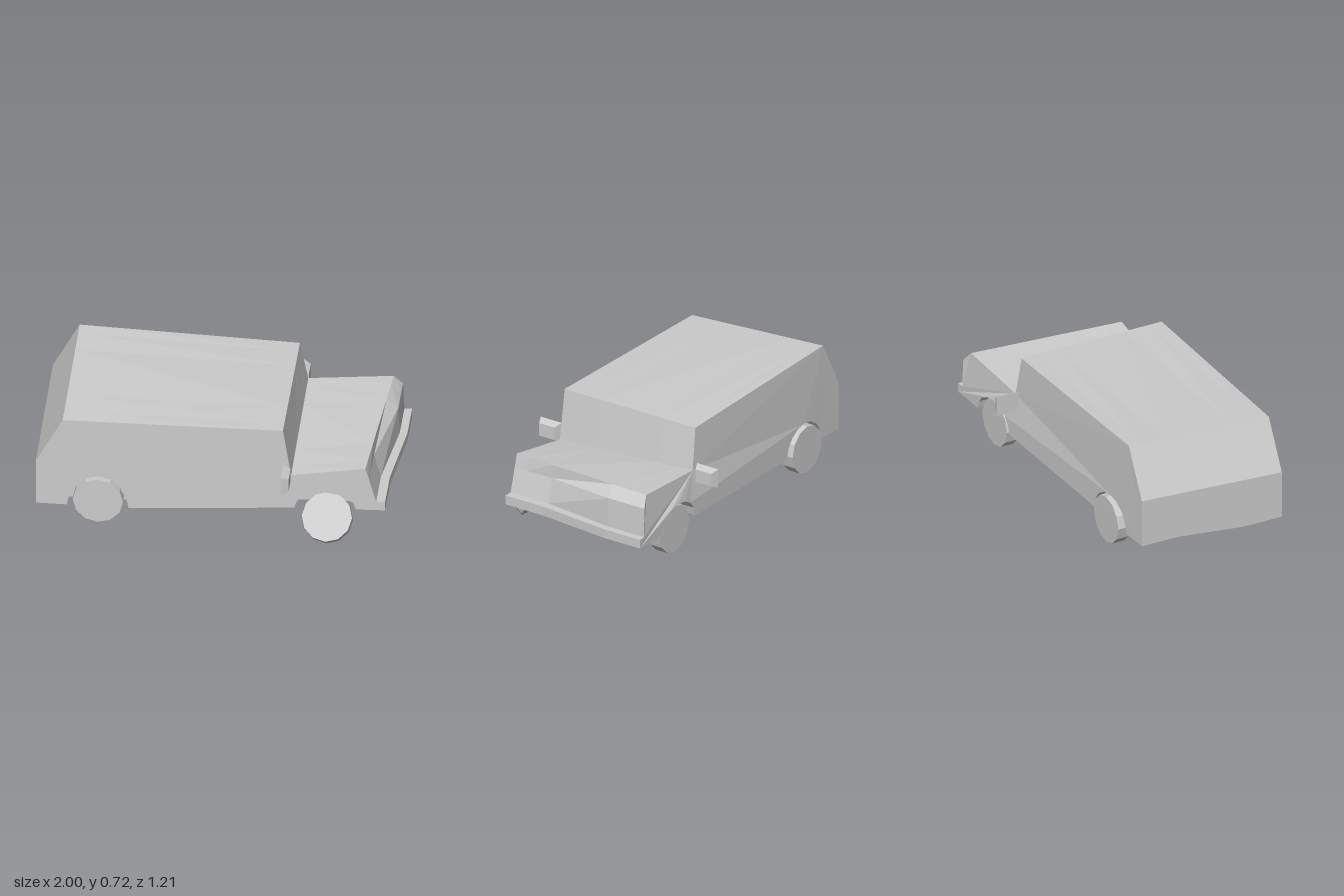
import * as THREE from 'three';

const grey = new THREE.MeshStandardMaterial({ color: 0xcccccc, flatShading: true });
const { lerp, clamp } = THREE.MathUtils;

// Underside height along x, on the sagging (+z) and the raised (-z) side
const floorRight = x => x < -0.48 ? 0.11 : x < 0.45 ? lerp(0.11, 0.178, (x + 0.48) / 0.93) : lerp(0.178, 0.197, (x - 0.45) / 0.55);
const floorLeft = x => lerp(0.155, 0.197, (x + 1) / 2);
const sideZ = x => -0.445 - 0.03 * (x + 1);

// Outline points: right (+z) x, y; left (-z) x, y; left z; bend = creased rather than straight change; lift = arch height
function outline() {
  const pts = [];
  const add = (xr, yr, xl, yl, zl, bend = false, lift = 0) => pts.push({ xr, yr, xl, yl, zl, bend, lift });
  const arch = (cx) => {
    for (let i = 0; i <= 8; i++) {
      const a = Math.PI * (1 - i / 8), x = cx + 0.172 * Math.cos(a);
      add(x, floorRight(x), x, floorLeft(x), sideZ(x), true, Math.sin(a));
    }
  };
  add(-1, 0.11, -1, 0.155, -0.445, true);
  arch(-0.655);
  arch(0.615);
  add(0.95, 0.195, 1, 0.197, -0.505, true);      // bumper
  add(0.95, 0.25, 1, 0.25, -0.505, true);
  add(0.90, 0.25, 0.957, 0.25, -0.503, true);
  add(0.861, 0.39, 0.95, 0.42, -0.5, true);      // grille
  add(0.84, 0.465, 0.9, 0.48, -0.478);           // hood
  add(0.425, 0.393, 0.425, 0.445, -0.458);
  add(0.38, 0.685, 0.38, 0.685, -0.445);         // roof
  add(-0.85, 0.67, -0.85, 0.72, -0.445);
  add(-1, 0.39, -1, 0.44, -0.445);               // tailgate
  return pts;
}

// Body skin lofted across the width; the doubled stations form the wheel-well walls
function bodyGeometry() {
  const pts = outline(), n = pts.length;
  const stations = [[0, 1], [0.09, 1], [0.09, 0], [0.27, 0], [0.74, 0], [0.91, 0], [0.91, 1], [1, 1]];
  const rows = stations.map(([u, open]) => pts.map(p => {
    const s = p.bend ? clamp((u - 0.27) / 0.47, 0, 1) : u;
    const y = lerp(p.yr, p.yl, s);
    const top = lerp(0.29, 0.32, u);
    return new THREE.Vector3(lerp(p.xr, p.xl, s), y + open * p.lift * (top - y), lerp(0.443, p.zl, u));
  }));
  const pos = [];
  const tri = (...v) => v.forEach(p => pos.push(p.x, p.y, p.z));
  for (let k = 0; k < rows.length - 1; k++) {
    for (let i = 0; i < n; i++) {
      const j = (i + 1) % n, a = rows[k][i], b = rows[k][j], c = rows[k + 1][j], d = rows[k + 1][i];
      tri(a, d, c);
      tri(a, c, b);
    }
  }
  const cap = (row, flip) => {
    const faces = THREE.ShapeUtils.triangulateShape(row.map(p => new THREE.Vector2(p.x, p.y)), []);
    for (const [a, b, c] of faces) flip ? tri(row[a], row[c], row[b]) : tri(row[a], row[b], row[c]);
  };
  cap(rows[0], false);
  cap(rows[rows.length - 1], true);
  const g = new THREE.BufferGeometry();
  g.setAttribute('position', new THREE.Float32BufferAttribute(pos, 3));
  g.computeVertexNormals();
  return g;
}

export function createModel() {
  const car = new THREE.Group();
  car.name = 'damagedCar';
  const part = (name, geometry, x = 0, y = 0, z = 0) => {
    const m = new THREE.Mesh(geometry, grey);
    m.name = name;
    m.position.set(x, y, z);
    car.add(m);
    return m;
  };

  part('body', bodyGeometry());

  // Wheels, the right front one folded under
  const wheel = new THREE.CylinderGeometry(0.14, 0.14, 0.077, 12).rotateX(Math.PI / 2);
  part('rearRightWheel', wheel, -0.65, 0.17, 0.44);
  part('rearLeftWheel', wheel, -0.65, 0.17, -0.44);
  part('frontLeftWheel', wheel, 0.63, 0.17, -0.44);
  part('brokenFrontWheel', wheel, 0.63, 0.135, 0.459).rotation.x = -0.7;

  // Axles
  part('frontAxle', new THREE.BoxGeometry(0.05, 0.05, 0.78), 0.63, 0.16, -0.02);
  part('rearAxle', new THREE.BoxGeometry(0.05, 0.05, 0.82), -0.65, 0.156, 0);

  // Door mirrors, tapering towards the front
  const mirror = new THREE.BoxGeometry(0.042, 0.113, 0.143);
  const p = mirror.attributes.position;
  for (let i = 0; i < p.count; i++) {
    if (p.getX(i) > 0) p.setXYZ(i, p.getX(i), p.getY(i) * 0.68, p.getZ(i) * 0.74);
  }
  mirror.computeVertexNormals();
  for (const side of [1, -1]) part(side > 0 ? 'rightMirror' : 'leftMirror', mirror, 0.405, 0.418, side * 0.531);

  return car;
}
